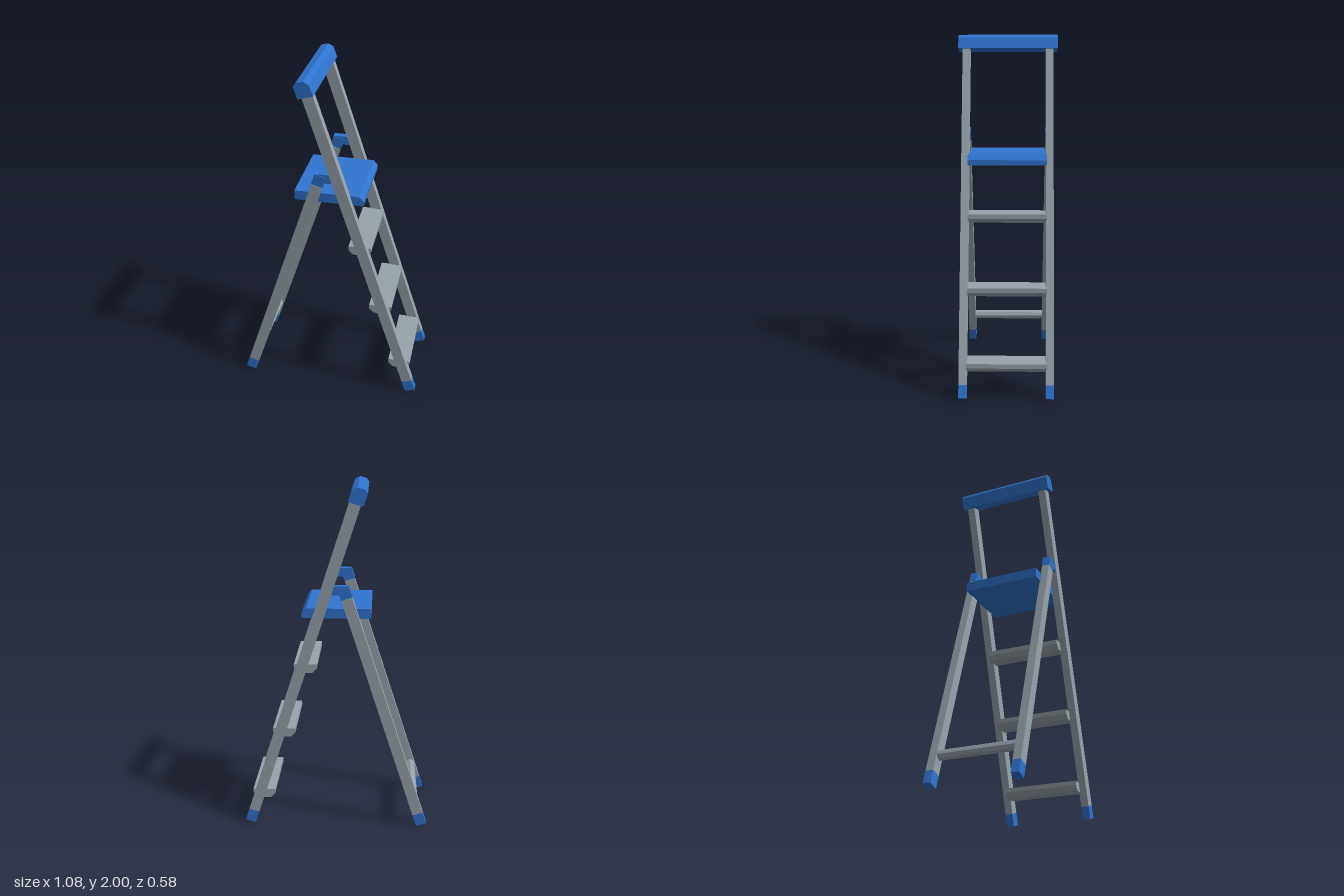
import * as THREE from 'three';

const GREY = new THREE.MeshStandardMaterial({ color: 0x97a3ab, flatShading: true });
const BLUE = new THREE.MeshStandardMaterial({ color: 0x2f74d0, flatShading: true });
const TILT = THREE.MathUtils.degToRad(18);
const LEG_Z = 0.2425, LEG_W = 0.062, LEG_T = 0.045;

export function createModel() {
  const group = new THREE.Group();

  const add = (name, geometry, material) => {
    const mesh = new THREE.Mesh(geometry, material);
    mesh.name = name;
    group.add(mesh);
    return mesh;
  };

  // Profile in the x-y plane, extruded along z about a centre
  const prism = (name, points, depth, material, z = 0) => {
    const shape = new THREE.Shape(points.map(p => new THREE.Vector2(...p)));
    const geometry = new THREE.ExtrudeGeometry(shape, { depth, bevelEnabled: false });
    add(name, geometry.translate(0, 0, z - depth / 2), material);
  };

  // Piece of a leaning leg; dir = 1 stands at +x, and leans to the middle
  const legPiece = (name, dir, from, to, z, material, grow = 0) => {
    const mid = (from + to) / 2;
    const mesh = add(name, new THREE.BoxGeometry(LEG_W + grow, to - from, LEG_T + grow / 4), material);
    mesh.position.set(dir * (0.508 - Math.sin(TILT) * mid), 0.019 + Math.cos(TILT) * mid, z);
    mesh.rotation.z = dir * TILT;
  };

  for (const side of [1, -1]) {
    const z = side * LEG_Z;
    // Step-side rails
    legPiece('stepRailFoot', 1, -0.01, 0.064, z, BLUE);
    legPiece('stepRail', 1, 0.064, 1.99, z, GREY);
    // Support legs with hinge caps
    legPiece('supportLegFoot', -1, -0.01, 0.064, z, BLUE);
    legPiece('supportLeg', -1, 0.064, 1.44, z, GREY);
    legPiece('supportLegCap', -1, 1.442, 1.508, z, BLUE, 0.004);
    prism('hinge', [[-0.06, 1.41], [0.03, 1.41], [0.03, 1.462], [-0.06, 1.462]], 0.038, BLUE, z);
  }

  // Treads with chamfered lower edges
  for (let i = 0; i < 3; i++) {
    const x = 0.365 - i * 0.128, y = 0.203 + i * 0.397;
    prism('step', [
      [x, y], [x, y - 0.026], [x + 0.026, y - 0.053],
      [x + 0.105, y - 0.053], [x + 0.131, y - 0.026], [x + 0.131, y],
    ], 0.45, GREY);
  }

  // Platform with a chamfered front edge
  prism('platform', [
    [-0.2, 1.27], [0.192, 1.27], [0.192, 1.3], [0.168, 1.326], [-0.2, 1.326],
  ], 0.45, BLUE);

  // Top handrail
  prism('handrail', [
    [-0.15, 1.9], [-0.067, 1.924], [-0.089, 1.985],
    [-0.118, 2.0], [-0.158, 1.99], [-0.173, 1.968],
  ], 0.58, BLUE);

  // Octagonal brace between the support legs
  const brace = add('brace', new THREE.CylinderGeometry(0.029, 0.029, 0.45, 8), GREY);
  brace.rotation.x = Math.PI / 2;
  brace.position.set(-0.457, 0.181, 0);

  return group;
}
